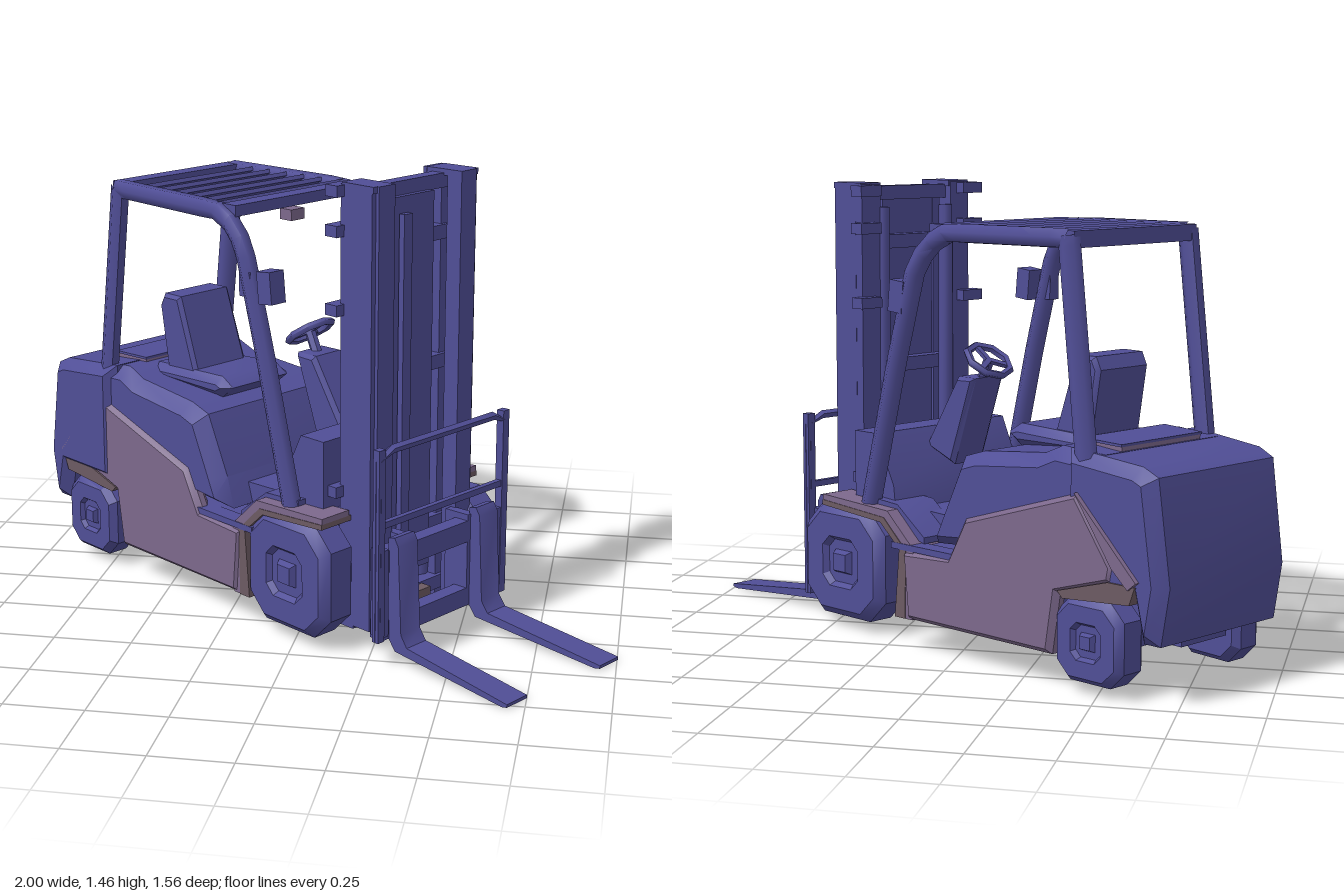
import * as THREE from 'three';
import { toCreasedNormals } from 'three/addons/utils/BufferGeometryUtils.js';

const V = (x, y, z) => new THREE.Vector3(x, y, z);

export function createModel() {
  const blue = new THREE.MeshStandardMaterial({ name: 'indigo paint', color: 0x504e96 });
  const mauve = new THREE.MeshStandardMaterial({ name: 'mauve panels', color: 0x7c688c });
  const brown = new THREE.MeshStandardMaterial({ name: 'taupe linings', color: 0x6c5a62 });

  // Truck is built driving towards +x, then turned as a whole
  const truck = new THREE.Group();
  truck.name = 'forklift';

  // Adds a part; the whole truck widens a little towards its front
  function add(name, geo, mat = blue, crease = 0.6) {
    const p = geo.attributes.position;
    for (let i = 0; i < p.count; i++) p.setZ(i, p.getZ(i) * (1 + 0.18 * p.getX(i)));
    const mesh = new THREE.Mesh(toCreasedNormals(geo, crease), mat);
    mesh.name = name;
    truck.add(mesh);
  }
  const box = (w, h, d, x, y, z, tilt = 0) =>
    new THREE.BoxGeometry(w, h, d).rotateZ(tilt).translate(x, y, z);
  // Side profile in (x, y), extruded across z from z0 to z1
  function slab(pts, z0, z1, bevel = 0) {
    const shape = new THREE.Shape(pts.map(([x, y]) => new THREE.Vector2(x, y)));
    return new THREE.ExtrudeGeometry(shape, {
      depth: z1 - z0 - 2 * bevel, bevelEnabled: bevel > 0, bevelThickness: bevel,
      bevelSize: bevel * 0.8, bevelOffset: -bevel * 0.8, bevelSegments: 1,
    }).translate(0, 0, z0 + bevel);
  }
  function tube(pts, r, sides = 6) {
    const path = new THREE.CurvePath();
    for (let i = 1; i < pts.length; i++) path.add(new THREE.LineCurve3(pts[i - 1], pts[i]));
    return new THREE.TubeGeometry(path, 24, r, sides);
  }
  const bothSides = (fn) => [1, -1].forEach((s) => fn(s, s > 0 ? 'right' : 'left'));
  // Extrusion between two distances from the middle, on either side
  const sideSlab = (pts, a, b, s, bevel) => (s > 0 ? slab(pts, a, b, bevel) : slab(pts, -b, -a, bevel));

  // Chassis and bodywork
  add('chassis', slab([[-0.62, 0.11], [0.0, 0.11], [0.28, 0.14], [0.3, 0.42], [0.02, 0.42], [-0.64, 0.4]], -0.2, 0.2));
  add('floor', slab([[-0.62, 0.12], [-0.02, 0.12], [0, 0.33], [-0.2, 0.34], [-0.62, 0.4]], -0.315, 0.315));
  add('bellyPan', box(0.59, 0.012, 0.66, -0.32, 0.106, 0), mauve);
  add('counterweight', slab([
    [-0.66, 0.72], [-0.93, 0.695], [-0.985, 0.67], [-1.03, 0.36], [-1.0, 0.185],
    [-0.94, 0.185], [-0.91, 0.31], [-0.66, 0.31],
  ], -0.342, 0.36, 0.045));
  add('counterweightCore', box(0.3, 0.3, 0.24, -0.8, 0.3, 0));
  add('engineHood', slab([
    [-0.8, 0.4], [-0.1, 0.35], [-0.13, 0.45], [-0.22, 0.64], [-0.3, 0.665], [-0.55, 0.69], [-0.62, 0.72], [-0.78, 0.71],
  ], -0.335, 0.335, 0.05));
  add('hoodRim', box(0.15, 0.03, 0.4, -0.7, 0.712, 0, 0.03), mauve);
  add('hoodLid', box(0.155, 0.008, 0.41, -0.7, 0.73, 0, 0.03));

  bothSides((s, side) => {
    // Side skirts
    add(side + 'SidePanel', sideSlab([
      [-0.62, 0.1], [-0.02, 0.1], [0, 0.32], [-0.2, 0.33], [-0.27, 0.46], [-0.72, 0.6], [-0.86, 0.4], [-0.85, 0.35], [-0.65, 0.29],
    ], 0.29, 0.352, s, 0.02), mauve);
    add(side + 'RearCornerPanel', sideSlab([[-0.86, 0.4], [-0.72, 0.6], [-0.95, 0.37], [-0.92, 0.345]], 0.29, 0.36, s), mauve);
    add(side + 'RearArchLining', sideSlab([[-0.94, 0.355], [-0.92, 0.3], [-0.67, 0.28], [-0.65, 0.3], [-0.84, 0.355]], 0.2, 0.35, s), brown);
    add(side + 'Step', box(0.3, 0.02, 0.06, -0.1, 0.33, s * 0.315));
    // Front fenders with the lining of the wheel arch, and the cowl above them
    add(side + 'Fender', sideSlab([
      [-0.04, 0.1], [-0.045, 0.33], [0.07, 0.435], [0.37, 0.45], [0.37, 0.432], [0.085, 0.412], [-0.015, 0.32], [-0.01, 0.1],
    ], 0.23, 0.342, s), mauve);
    add(side + 'FenderLining', sideSlab([
      [-0.01, 0.1], [-0.015, 0.32], [0.085, 0.412], [0.37, 0.432], [0.37, 0.415], [0.1, 0.395], [0.015, 0.32], [0.035, 0.1],
    ], 0.19, 0.344, s), brown);
    add(side + 'Cowl', sideSlab([
      [-0.05, 0.34], [0.02, 0.36], [0.09, 0.43], [0.22, 0.44], [0.22, 0.46], [0.07, 0.45], [-0.05, 0.36],
    ], 0.15, 0.3, s));
  });

  // Wheels: chunky eight-sided tyres, squared off, with square hubs
  function wheel(name, x, y, z, r, w) {
    const s = Math.sign(z);
    const prof = [[0.001, -0.5], [0.85, -0.5], [1, -0.3], [1, 0.3], [0.85, 0.5], [0.45, 0.5], [0.38, 0.38], [0.001, 0.38]];
    const place = (g) => g.rotateX(s * Math.PI / 2).translate(x, y, z);
    const tyre = new THREE.LatheGeometry(prof.map(([a, b]) => new THREE.Vector2(a * r, b * w)), 8, Math.PI / 8);
    const p = tyre.attributes.position;
    for (let i = 0; i < p.count; i++) {
      const wide = Math.abs(p.getX(i)) > Math.abs(p.getZ(i));
      if (wide) p.setZ(i, p.getZ(i) * 1.45);
      else p.setX(i, p.getX(i) * 1.45);
    }
    add(name + 'Tyre', place(tyre));
    add(name + 'Hub', place(new THREE.CylinderGeometry(r * 0.2, r * 0.3, w * 0.2, 4, 1, false, Math.PI / 4)
      .translate(0, w * 0.42, 0)));
  }
  wheel('frontRightWheel', 0.2, 0.225, 0.275, 0.2, 0.14);
  wheel('frontLeftWheel', 0.32, 0.225, -0.25, 0.2, 0.14);
  wheel('rearRightWheel', -0.8, 0.16, 0.28, 0.137, 0.14);
  wheel('rearLeftWheel', -0.755, 0.16, -0.275, 0.137, 0.14);
  add('frontAxle', box(0.1, 0.1, 0.5, 0.27, 0.22, 0));
  add('rearAxle', box(0.09, 0.08, 0.5, -0.77, 0.17, 0));

  // Driver's place
  add('seatCushion', slab([[-0.62, 0.67], [-0.28, 0.66], [-0.23, 0.7], [-0.28, 0.73], [-0.6, 0.72]], -0.13, 0.19, 0.03));
  add('seatBack', slab([[-0.55, 0.68], [-0.4, 0.69], [-0.49, 0.96], [-0.57, 0.96], [-0.59, 0.92]], -0.09, 0.165, 0.015));
  add('dashboard', slab([[0.1, 0.33], [0.3, 0.33], [0.3, 0.66], [0.2, 0.66], [0.12, 0.5]], -0.27, 0.27));
  add('steeringColumn', slab([[0.07, 0.55], [0.2, 0.6], [0.05, 0.84], [-0.03, 0.84]], -0.07, 0.07, 0.015));
  const tilt = (g) => g.rotateX(Math.PI / 2).rotateZ(0.6).translate(-0.04, 0.895, -0.01);
  add('steeringWheel', tilt(new THREE.TorusGeometry(0.075, 0.013, 5, 8)), blue, 1.2);
  for (let i = 0; i < 3; i++)
    add('steeringSpoke', tilt(new THREE.BoxGeometry(0.075, 0.018, 0.012).translate(0.037, 0, 0).rotateZ(i * 2.09)));
  add('steeringShaft', tube([V(0.01, 0.81, 0), V(-0.04, 0.895, -0.01)], 0.018));

  // Overhead guard
  bothSides((s, side) => {
    const z = s * 0.3;
    const top = s * 0.291 + 0.012;
    add(side + 'GuardPost', tube([
      V(0.2, 0.4, z), V(0.07, 0.9, z), V(-0.02, 1.21, z), V(-0.06, 1.28, top), V(-0.14, 1.318, top), V(-0.64, 1.322, top),
    ], 0.032), blue, 1.1);
    add(side + 'RearPost', tube([V(-0.73, 0.6, z), V(-0.63, 1.33, top)], 0.034), blue, 1.1);
    add(side + 'WorkLight', box(0.06, 0.1, 0.06, s > 0 ? 0.1 : 0.04, 1.115, s * 0.3, 0.1));
  });
  add('rightLightBracket', box(0.05, 0.08, 0.04, 0, 1.11, 0.3));
  add('guardRearBeam', box(0.06, 0.05, 0.6, -0.63, 1.32, 0.01));
  add('guardFrontBeam', box(0.06, 0.035, 0.58, -0.09, 1.325, 0.01));
  for (let i = 0; i < 6; i++)
    add('roofSlat', box(0.06, 0.014, 0.58, -0.55 + i * 0.077, 1.323, 0.01, 0.55));
  add('roofLamp', box(0.05, 0.035, 0.06, -0.06, 1.285, 0.05), mauve);

  // Mast: outer and inner channels on each side
  bothSides((s, side) => {
    add(side + 'OuterRail', box(0.06, 1.39, 0.075, 0.35, 0.755, s * 0.182));
    add(side + 'RailWeb', box(0.1, 1.37, 0.03, 0.4, 0.755, s * 0.205));
    add(side + 'InnerRail', box(0.055, 1.38, 0.065, 0.435, 0.765, s * 0.172));
    add(side + 'RailCap', box(0.13, 0.02, 0.08, 0.39, 1.445, s * 0.18));
    add(side + 'LiftCylinder', new THREE.CylinderGeometry(0.022, 0.026, 1.25, 8).translate(0.33, 0.75, s * 0.13), blue, 1);
    for (const y of [0.42, 0.5, 1.07, 1.31, 1.43])
      add(side + 'MastBracket', box(0.05, 0.035, 0.08, 0.31, y, s * 0.21));
    add(side + 'TiltCylinder', tube([V(0.05, 0.38, s * 0.16), V(0.33, 0.48, s * 0.16)], 0.025));
  });
  add('mastPanel', box(0.02, 1.2, 0.2, 0.4, 0.8, 0.02));
  add('liftChain', box(0.02, 1.1, 0.035, 0.425, 0.8, 0.055));
  for (const y of [0.11, 0.32, 0.85, 1.26, 1.42])
    add('mastCrossbar', box(0.045, 0.045, 0.34, 0.37, y, 0));
  add('mastFoot', box(0.06, 0.045, 0.14, 0.4, 0.105, 0), brown);

  // Carriage, load backrest and forks
  add('upperCarriageBar', box(0.05, 0.07, 0.5, 0.51, 0.325, 0));
  add('lowerCarriageBar', box(0.05, 0.06, 0.5, 0.51, 0.105, 0));
  add('backrestFrame', tube([
    V(0.535, 0.08, 0.265), V(0.535, 0.68, 0.265), V(0.535, 0.68, -0.265), V(0.535, 0.08, -0.265),
  ], 0.014, 5));
  add('backrestBar', box(0.018, 0.02, 0.53, 0.535, 0.45, 0));
  bothSides((s, side) => {
    add(side + 'BackrestPost', box(0.026, 0.61, 0.026, 0.535, 0.385, s * 0.265));
    add(side + 'CarriagePlate', box(0.09, 0.3, 0.03, 0.49, 0.23, s * 0.13));
    add(side + 'BackrestPlate', box(0.05, 0.28, 0.025, 0.52, 0.23, s * 0.245));
    const tip = s > 0 ? 1.01 : 1.04;
    const inner = s > 0 ? 0.14 : 0.128;
    add(side + 'Fork', sideSlab([
      [0.53, 0.4], [0.53, 0.08], [0.56, 0.04], [tip - 0.02, 0], [tip, 0.004], [tip, 0.014], [0.61, 0.065], [0.585, 0.1], [0.57, 0.38], [0.555, 0.405],
    ], inner, inner + 0.08, s));
  });

  truck.rotation.y = -33.5 * Math.PI / 180;
  const model = new THREE.Group();
  model.name = 'forkliftModel';
  model.add(truck);
  return model;
}
